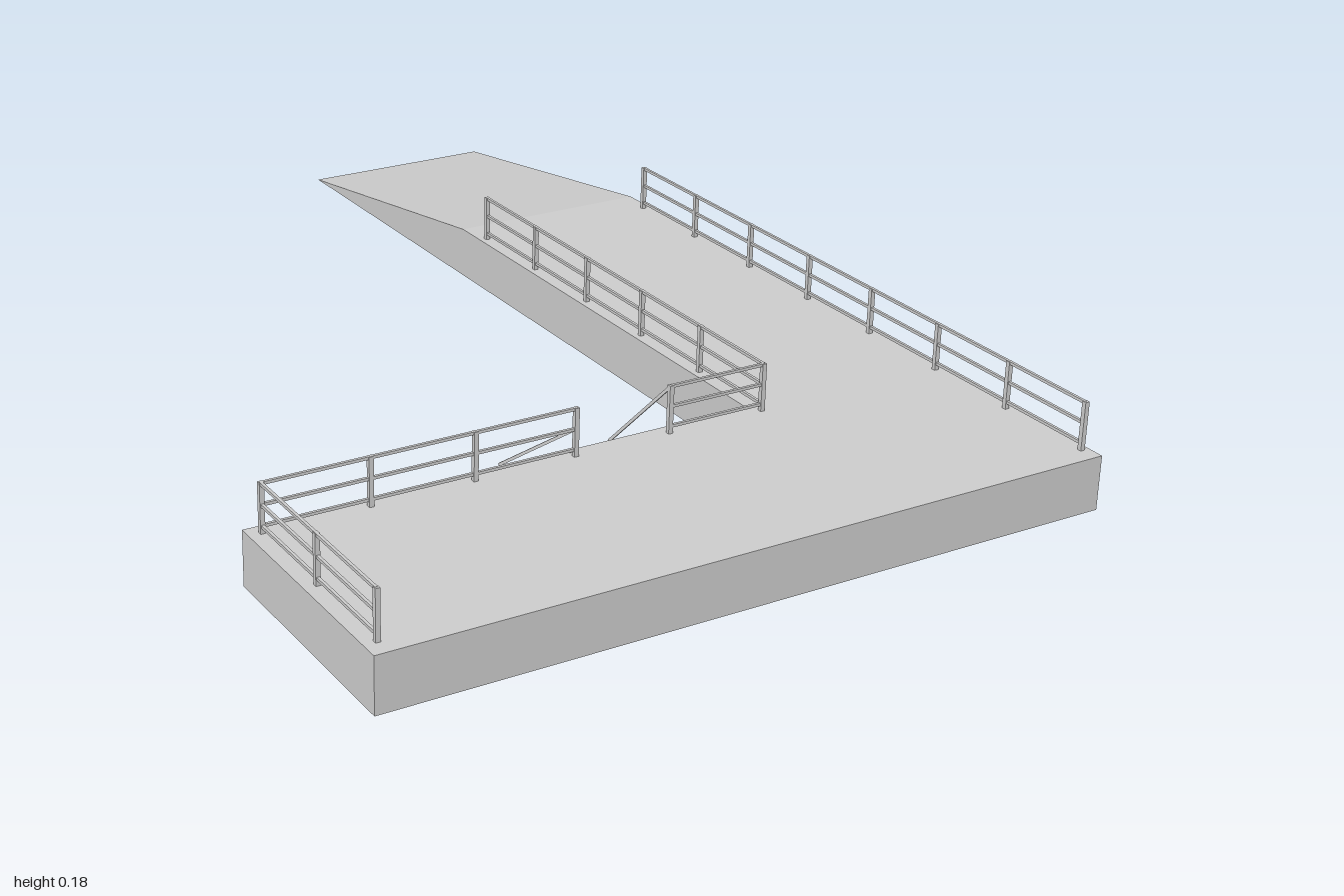
import * as THREE from 'three';

const H = 0.095;         // deck height
const RAMP_Z = -0.367;   // where the ramp starts to fall
const X = 0.647, XI = 0.262, ZI = 0.577;
const mat = new THREE.MeshStandardMaterial({ color: 0xcccccc, side: THREE.DoubleSide, flatShading: true });

// Sheet made of quads, each given as four corners anticlockwise from outside
function quadMesh(name, quads) {
  const pos = [];
  for (const [a, b, c, d] of quads) pos.push(...a, ...b, ...c, ...a, ...c, ...d);
  const g = new THREE.BufferGeometry();
  g.setAttribute('position', new THREE.Float32BufferAttribute(pos, 3));
  g.computeVertexNormals();
  const m = new THREE.Mesh(g, mat);
  m.name = name;
  return m;
}

// Horizontal or sloping panel between two z values
const panel = (x0, x1, z0, y0, z1, y1) =>
  [[x0, y1, z1], [x1, y1, z1], [x1, y0, z0], [x0, y0, z0]];

// Square bar between two points
function bar(name, a, b, t) {
  const p = new THREE.Vector3(...a), q = new THREE.Vector3(...b);
  const m = new THREE.Mesh(new THREE.BoxGeometry(t, t, p.distanceTo(q)), mat);
  m.position.copy(p).add(q).multiplyScalar(0.5);
  m.lookAt(q);
  m.name = name;
  return m;
}

// Straight railing with evenly spaced posts and three rails
function railing(name, [x0, z0], [x1, z1], spans) {
  const g = new THREE.Group();
  g.name = name;
  for (let i = 0; i <= spans; i++) {
    const t = i / spans, x = x0 + (x1 - x0) * t, z = z0 + (z1 - z0) * t;
    g.add(bar('post', [x, H, z], [x, 0.179, z], 0.008));
  }
  for (const y of [0.107, 0.142, 0.177]) g.add(bar('rail', [x0, y, z0], [x1, y, z1], 0.005));
  return g;
}

export function createModel() {
  const model = new THREE.Group();
  model.name = 'lShapedRampPlatform';

  // Deck top and ramp
  model.add(quadMesh('deck', [
    panel(-X, XI, ZI, H, 1, H),
    panel(XI, X, RAMP_Z, H, 1, H),
  ]));
  model.add(quadMesh('ramp', [panel(XI, X, -1, 0, RAMP_Z, H)]));

  // Side walls around the outline, open underneath
  const top = z => (z < RAMP_Z ? H * (z + 1) / (RAMP_Z + 1) : H);
  const outline = [[-X, 1], [X, 1], [X, RAMP_Z], [X, -1], [XI, -1], [XI, RAMP_Z], [XI, ZI], [-X, ZI]];
  const walls = [];
  outline.forEach(([ax, az], i) => {
    const [bx, bz] = outline[(i + 1) % outline.length];
    if (az === -1 && bz === -1) return; // the ramp tip has no wall
    walls.push([[ax, 0, az], [bx, 0, bz], [bx, top(bz), bz], [ax, top(az), az]]);
  });
  model.add(quadMesh('sideWalls', walls));

  // Railings
  model.add(railing('endRailing', [-0.625, 0.967], [-0.625, 0.6], 2));
  model.add(railing('backRailing', [-0.625, 0.6], [-0.08, 0.6], 3));
  model.add(railing('shortBackRailing', [0.097, 0.6], [0.277, 0.6], 1));
  model.add(railing('innerRailing', [0.277, 0.6], [0.277, -0.3], 5));
  model.add(railing('outerRailing', [0.633, 0.967], [0.633, -0.3], 7));

  // Broken rails hanging off the gap in the back railing
  const broken = new THREE.Group();
  broken.name = 'brokenRails';
  broken.add(
    bar('brokenMiddleRail', [-0.08, 0.142, 0.6], [-0.14, 0.038, 0.467], 0.005),
    bar('brokenLowerRail', [-0.08, 0.107, 0.6], [-0.075, 0.01, 0.455], 0.005),
    bar('brokenTopRail', [0.097, 0.177, 0.6], [0.058, 0.043, 0.485], 0.005),
  );
  model.add(broken);
  return model;
}
